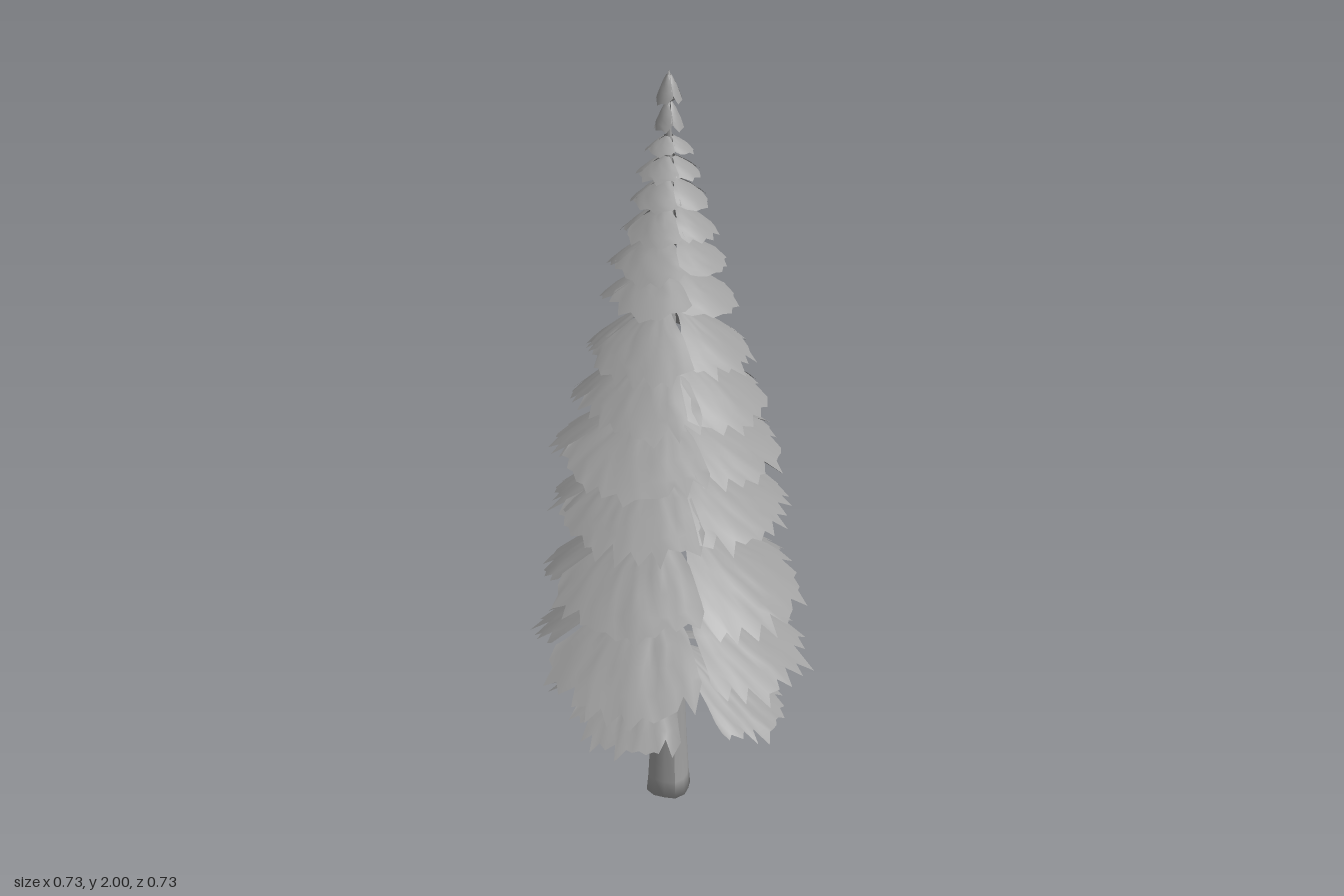
import * as THREE from 'three';

// Small seeded generator so the ragged edges repeat exactly.
function seeded(seed) {
  return () => {
    seed = (seed * 1664525 + 1013904223) % 4294967296;
    return seed / 4294967296;
  };
}

// One drooping fan-shaped bough with a ragged hem, centred on the given angle.
function boughGeometry(rand, { top, drop, radius, half, square, cols }, angle) {
  const rows = 6, pos = [], index = [];
  const inner = Math.min(0.03, radius * 0.2);
  const tilt = 1 + (rand() - 0.5) * 0.1;
  const size = 1 + (rand() - 0.5) * 0.06;
  for (let i = 0; i <= rows; i++) {
    const t = i / rows;
    for (let j = 0; j <= cols; j++) {
      const s = (j / cols) * 2 - 1;
      // fans open quickly away from the trunk
      const d = s * half * (0.72 + 0.28 * Math.min(1, t * 2));
      let reach = radius * size * (1 - square * (d / 0.785) ** 2);
      // uneven teeth on the last row only
      if (i === rows) reach *= (j % 2 ? 1.02 : 0.95) + (rand() - 0.5) * 0.1;
      const r = inner + (reach - inner) * t;
      const u = r / radius;
      // the sides of each fan lift slightly towards the hem
      const y = top - drop * tilt * (0.65 * u + 0.35 * u * u) + drop * s * s * (0.1 * t - 0.03)
        + (i > 1 ? (rand() - 0.5) * 0.03 * drop : 0);
      const a = angle + d + (i === rows ? (rand() - 0.5) * half / cols : 0);
      pos.push(Math.cos(a) * r, y, Math.sin(a) * r);
    }
  }
  const w = cols + 1;
  for (let i = 0; i < rows; i++) {
    for (let j = 0; j < cols; j++) {
      const a = i * w + j;
      index.push(a, a + 1, a + w, a + 1, a + w + 1, a + w);
    }
  }
  const g = new THREE.BufferGeometry();
  g.setAttribute('position', new THREE.Float32BufferAttribute(pos, 3));
  g.setIndex(index);
  g.computeVertexNormals();
  return g;
}

export function createModel() {
  const grey = new THREE.MeshStandardMaterial({ color: 0x9f9f9f, side: THREE.DoubleSide });
  grey.name = 'grey';
  const tree = new THREE.Group();
  tree.name = 'coniferTree';
  const rand = seeded(7);

  // Trunk: tapering column with a flared, slightly lobed foot
  const profile = [[0, 0], [0.06, 0], [0.056, 0.05], [0.05, 0.18], [0.041, 0.46], [0.032, 0.7],
    [0.024, 1.1], [0.015, 1.5], [0.007, 1.85], [0, 1.96]].map(([x, y]) => new THREE.Vector2(x, y));
  const trunkGeo = new THREE.LatheGeometry(profile, 12);
  const p = trunkGeo.attributes.position;
  for (let i = 0; i < p.count; i++) {
    const y = p.getY(i), a = Math.atan2(p.getZ(i), p.getX(i));
    const k = 1 + 0.07 * Math.cos(4 * a + 0.6) * Math.max(0, 1 - y / 0.3);
    p.setX(i, p.getX(i) * k);
    p.setZ(i, p.getZ(i) * k);
  }
  trunkGeo.computeVertexNormals();
  const trunk = new THREE.Mesh(trunkGeo, grey);
  trunk.name = 'trunk';
  tree.add(trunk);

  // Tiers of four boughs: [top y, hem y, corner radius, half angle, squareness]
  const tiers = [
    [0.49, 0.305, 0.315, 0.6, 0.14],
    [0.68, 0.46, 0.38, 0.74, 0.15],
    [0.87, 0.655, 0.345, 0.81, 0.09],
    [1.06, 0.87, 0.318, 0.84, 0.08],
    [1.21, 1.04, 0.3, 0.84, 0.08],
    [1.345, 1.18, 0.25, 0.84, 0.08],
    [1.45, 1.305, 0.208, 0.84, 0.08],
    [1.55, 1.445, 0.165, 0.84, 0.08],
    [1.63, 1.53, 0.145, 0.84, 0.08],
    [1.7, 1.61, 0.118, 0.84, 0.08],
    [1.76, 1.69, 0.095, 0.84, 0.08],
    [1.81, 1.755, 0.078, 0.84, 0.08],
    [1.855, 1.81, 0.057, 0.84, 0.08],
    [1.94, 1.86, 0.037, 0.84, 0.08],
    [2.0, 1.925, 0.032, 0.84, 0.08],
  ];
  tiers.forEach(([top, hem, radius, half, square], n) => {
    const tier = new THREE.Group();
    tier.name = `tier${n + 1}`;
    const cols = radius > 0.29 ? 20 : radius > 0.2 ? 16 : radius > 0.1 ? 10 : radius > 0.05 ? 7 : 4;
    for (let k = 0; k < 4; k++) {
      const angle = Math.PI / 4 + k * Math.PI / 2 + (rand() - 0.5) * 0.08;
      const bough = new THREE.Mesh(
        boughGeometry(rand, { top, drop: top - hem, radius, half, square, cols }, angle), grey);
      bough.name = 'bough';
      tier.add(bough);
    }
    tree.add(tier);
  });

  // Pointed tip closing the crown
  const tip = new THREE.Mesh(new THREE.ConeGeometry(0.014, 0.04, 8), grey);
  tip.name = 'tip';
  tip.position.y = 1.98;
  tree.add(tip);
  return tree;
}
